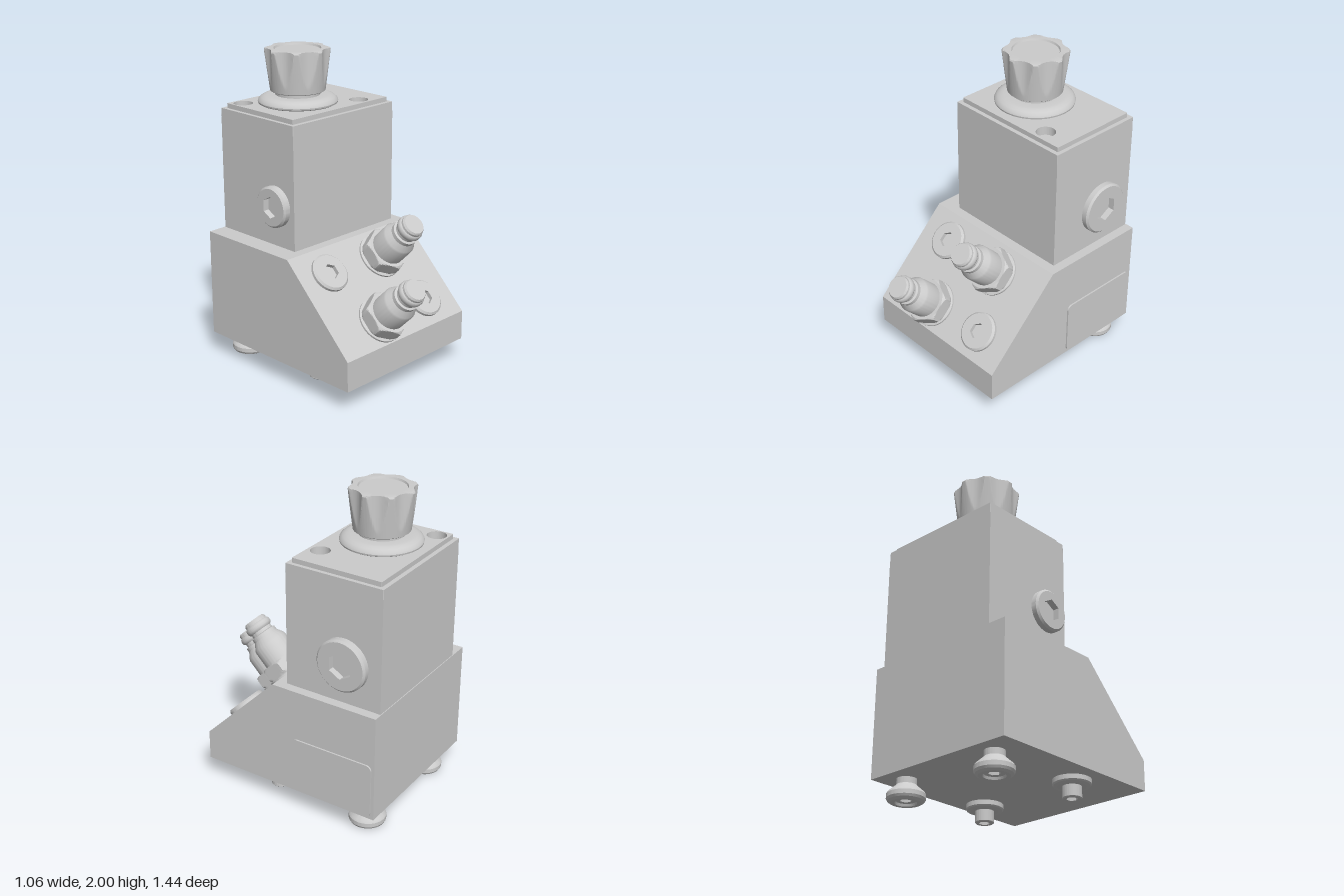
import * as THREE from 'three';
import { toCreasedNormals } from 'three/addons/utils/BufferGeometryUtils.js';

const mat = new THREE.MeshStandardMaterial({ color: 0xcccccc });

function add(parent, name, geo, x = 0, y = 0, z = 0) {
  const mesh = new THREE.Mesh(geo, mat);
  mesh.name = name;
  mesh.position.set(x, y, z);
  parent.add(mesh);
  return mesh;
}

// Lathe whose radius may be changed by a rule(radius, angle, height)
function turned(profile, rule, segments = 96) {
  const geo = new THREE.LatheGeometry(profile.map(([r, y]) => new THREE.Vector2(r, y)), segments);
  if (rule) {
    const p = geo.attributes.position;
    for (let i = 0; i < p.count; i++) {
      const x = p.getX(i), z = p.getZ(i), r = Math.hypot(x, z);
      if (r < 1e-6) continue;
      const k = rule(r, Math.atan2(x, z), p.getY(i)) / r;
      p.setX(i, x * k);
      p.setZ(i, z * k);
    }
  }
  return toCreasedNormals(geo, 0.5);
}

// Radius of a hexagon at an angle, with a corner at angle 0
function hexRadius(apothem, angle) {
  const s = Math.PI / 3;
  return apothem / Math.cos((((angle % s) + s) % s) - s / 2);
}

// Round plug with a chamfered rim and a hexagonal socket
function plug(r, h, socket, turn = 0) {
  const c = 0.012;
  return turned(
    [[0, 0], [r, 0], [r, h - c], [r - c, h], [socket, h], [socket, 0.004], [0, 0.004]],
    (q, a) => (Math.abs(q - socket) < 1e-4 ? hexRadius(socket, a + turn) : q));
}

function rectShape(w, h, r) {
  const s = new THREE.Shape(), x = w / 2 - r, y = h / 2 - r;
  s.absarc(x, y, r, 0, Math.PI / 2);
  s.absarc(-x, y, r, Math.PI / 2, Math.PI);
  s.absarc(-x, -y, r, Math.PI, Math.PI * 1.5);
  s.absarc(x, -y, r, Math.PI * 1.5, Math.PI * 2);
  s.closePath();
  return s;
}

const extrude = (shape, depth) =>
  new THREE.ExtrudeGeometry(shape, { depth, bevelEnabled: false, curveSegments: 24 });

export function createModel() {
  const model = new THREE.Group();
  model.name = 'valveBlock';

  // Base with a 45 degree front face
  const side = new THREE.Shape([[-0.72, 0.143], [0.505, 0.143], [0.505, 0.335], [0, 0.84], [-0.72, 0.84]]
    .map(([z, y]) => new THREE.Vector2(z, y)));
  add(model, 'base', extrude(side, 1.05), 0.52).rotation.y = -Math.PI / 2;

  // Thin plate on the left side of the base
  add(model, 'sidePlate', extrude(rectShape(0.56, 0.36, 0.035), 0.01), 0.52, 0.335, -0.42)
    .rotation.y = Math.PI / 2;

  // Upper block, its drilled top layer and the cover plate
  const holes = [[-0.31, -0.615], [0.26, -0.17]];
  const cx = 0.0275, cz = -0.39;
  add(model, 'upperBlock', new THREE.BoxGeometry(0.865, 0.725, 0.65), cx, 1.2025, cz);
  const layer = (name, w, d, y, h) => {
    const s = rectShape(w, d, 0.004);
    for (const [x, z] of holes) {
      s.holes.push(new THREE.Path().absarc(x - cx, -(z - cz), 0.06, 0, Math.PI * 2, true));
    }
    add(model, name, extrude(s, h), cx, y, cz).rotation.x = -Math.PI / 2;
  };
  layer('upperBlockTop', 0.865, 0.65, 1.565, 0.06);
  layer('coverPlate', 0.815, 0.595, 1.625, 0.03);

  // Screws sunk into the cover holes
  const screw = turned([[0.06, 0.035], [0.036, 0.035], [0.036, 0.003], [0, 0.003]], null, 48);
  for (const [x, z] of holes) add(model, 'coverScrew', screw, x, 1.565, z);

  // Control knob on a domed collar
  const knob = new THREE.Group();
  knob.name = 'knob';
  knob.position.set(-0.055, 0, -0.39);
  model.add(knob);
  add(knob, 'collar', turned([[0, 1.655], [0.235, 1.655], [0.248, 1.662], [0.25, 1.672], [0.245, 1.684],
    [0.23, 1.697], [0.21, 1.706], [0.19, 1.71], [0.14, 1.71], [0.14, 1.74]]));
  const grip = [[0, 1.733], [0.165, 1.733]];
  for (let i = 0; i <= 16; i++) grip.push([0.172 + 0.033 * i / 16, 1.738 + 0.252 * i / 16]);
  grip.push([0.2, 1.998], [0.19, 2], [0.147, 2], [0.142, 1.988], [0, 1.988]);
  // Eight flutes that fade out towards the bottom
  add(knob, 'grip', turned(grip, (r, a) => {
    const s = Math.PI / 4, f = (((a % s) + s) % s) / (s / 2) - 1;
    return Math.min(r, 0.177 + 0.042 * f * f);
  }, 192));

  // Plugs on both sides of the upper block
  add(model, 'leftPlug', plug(0.165, 0.045, 0.072, Math.PI / 6), 0.46, 1.095, -0.465).rotation.z = -Math.PI / 2;
  add(model, 'rightPlug', plug(0.13, 0.045, 0.06, Math.PI / 6), -0.405, 1.095, -0.23).rotation.z = Math.PI / 2;

  // Everything on the sloping face is placed by x and z
  const onSlope = (object, name, x, z) => {
    object.name = name;
    object.position.set(x, 0.84 - z, z);
    object.rotation.x = Math.PI / 4;
    model.add(object);
  };
  const flatPlug = plug(0.123, 0.03, 0.044);
  onSlope(new THREE.Mesh(flatPlug, mat), 'slopePlug', -0.297, 0.12);
  onSlope(new THREE.Mesh(flatPlug, mat), 'slopePlug', 0.275, 0.382);

  // Hose fittings: chamfered hex nut and turned nipple
  const nut = turned([[0, 0], [0.148, 0], [0.148, 0.012], [0.138, 0.018], [0.146, 0.03], [0.152, 0.04],
    [0.152, 0.085], [0.147, 0.094], [0.141, 0.1], [0.132, 0.106], [0, 0.106]],
  (r, a, y) => (y < 0.015 ? r : Math.min(r, hexRadius(0.131, a))));
  const nipple = turned([[0.112, 0.1], [0.112, 0.225], [0.106, 0.238], [0.083, 0.275], [0.083, 0.3],
    [0.07, 0.305], [0.07, 0.325], [0.08, 0.333], [0.085, 0.343], [0.085, 0.36], [0.08, 0.37],
    [0.074, 0.375], [0.074, 0.39], [0.066, 0.402], [0, 0.402]]);
  for (const [x, z] of [[0.145, 0.127], [-0.138, 0.394]]) {
    const fitting = new THREE.Group();
    add(fitting, 'nut', nut);
    add(fitting, 'nipple', nipple);
    onSlope(fitting, 'fitting', x, z);
  }

  // Feet: flanged screws in front, flared pads behind, each with a hex socket
  const socket = (r, a, y) => (Math.abs(r - 0.03) < 1e-4 ? hexRadius(0.03, a) : r);
  const frontFoot = turned([[0, 0.06], [0.03, 0.06], [0.03, 0.028], [0.053, 0.028], [0.058, 0.033],
    [0.058, 0.102], [0.09, 0.102], [0.108, 0.107], [0.115, 0.115], [0.115, 0.143]], socket, 72);
  const backFoot = turned([[0, 0.05], [0.03, 0.05], [0.03, 0.015], [0.06, 0.015], [0.065, 0], [0.09, 0],
    [0.107, 0.01], [0.115, 0.024], [0.115, 0.05], [0.108, 0.062], [0.065, 0.1], [0.06, 0.106],
    [0.06, 0.143]], socket, 72);
  for (const x of [-0.335, 0.362]) {
    add(model, 'frontFoot', frontFoot, x, 0, 0.063);
    add(model, 'backFoot', backFoot, x, 0, -0.585);
  }
  return model;
}
